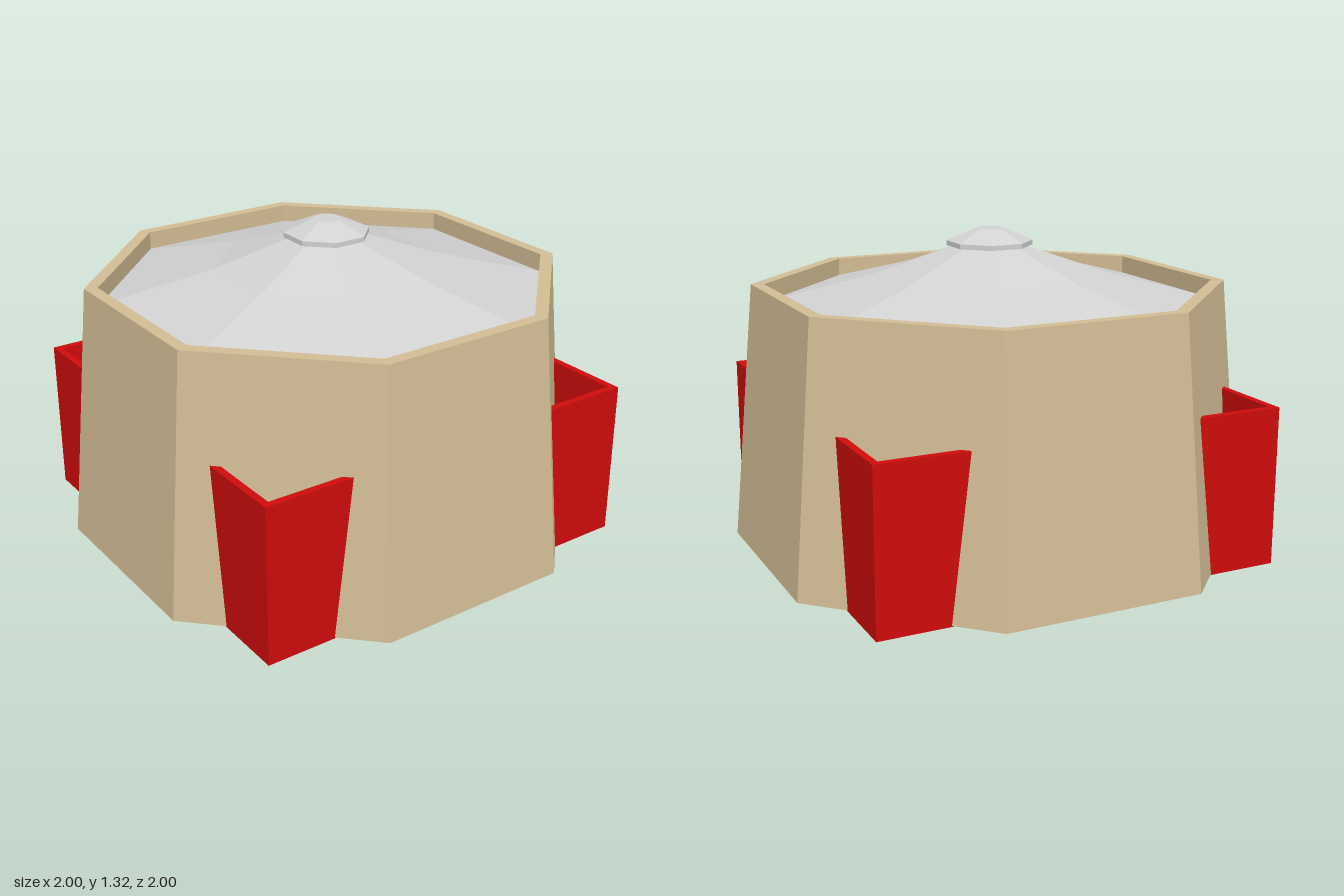
import * as THREE from 'three';

const SIDES = 8;

export function createModel() {
  const model = new THREE.Group();
  const sandstone = new THREE.MeshStandardMaterial({ name: 'sandstone', color: 0xd2bc94, flatShading: true });
  const paleGrey = new THREE.MeshStandardMaterial({ name: 'pale grey', color: 0xd2d2d2, flatShading: true });
  const red = new THREE.MeshStandardMaterial({ name: 'red', color: 0xcf0c0c, flatShading: true });

  // Octagonal solid from [distance to flat side, height] pairs, flats facing the axes
  function octagon(name, profile, material) {
    const points = profile.map(([d, y]) => new THREE.Vector2(d / Math.cos(Math.PI / SIDES), y));
    const mesh = new THREE.Mesh(new THREE.LatheGeometry(points, SIDES, Math.PI / SIDES), material);
    mesh.name = name;
    model.add(mesh);
  }

  // Tapered wall with a flat rim and a short parapet inside
  octagon('wall', [[0.85, 0.012], [1, 0.012], [0.905, 1.09], [0.855, 1.09], [0.855, 0.95]], sandstone);

  // Floor and inner core, slightly lower than the wall
  octagon('floor', [[0, 0], [0.852, 0], [0.852, 0.1]], paleGrey);

  // Two-pitch roof and its small cap
  octagon('roof', [[0.855, 1.015], [0.43, 1.133], [0.13, 1.245]], paleGrey);
  octagon('roofCap', [[0.12, 1.245], [0.163, 1.245], [0.163, 1.265], [0.055, 1.315], [0, 1.315]], paleGrey);

  // L-shaped corner screens, one on each diagonal
  const outer = 0.853, inner = 0.823, end = 0.46, bottom = 0.008, top = 0.66;
  const plan = new THREE.Shape([
    [end, outer], [end, inner], [inner, inner], [inner, end], [outer, end], [outer, outer],
  ].map(([x, y]) => new THREE.Vector2(x, y)));
  const screen = new THREE.ExtrudeGeometry(plan, { depth: top - bottom, bevelEnabled: false });
  screen.rotateX(-Math.PI / 2).translate(0, bottom, 0);
  // Pull the bottom of each arm end back to follow the wall taper
  const pos = screen.attributes.position;
  for (let i = 0; i < pos.count; i++) {
    if (pos.getY(i) > 0.1) continue;
    if (pos.getX(i) < 0.5) pos.setX(i, 0.555);
    if (pos.getZ(i) > -0.5) pos.setZ(i, -0.555);
  }
  screen.computeVertexNormals();
  for (let i = 0; i < 4; i++) {
    const mesh = new THREE.Mesh(screen, red);
    mesh.name = 'cornerScreen' + (i + 1);
    mesh.rotation.y = i * Math.PI / 2;
    model.add(mesh);
  }
  return model;
}
